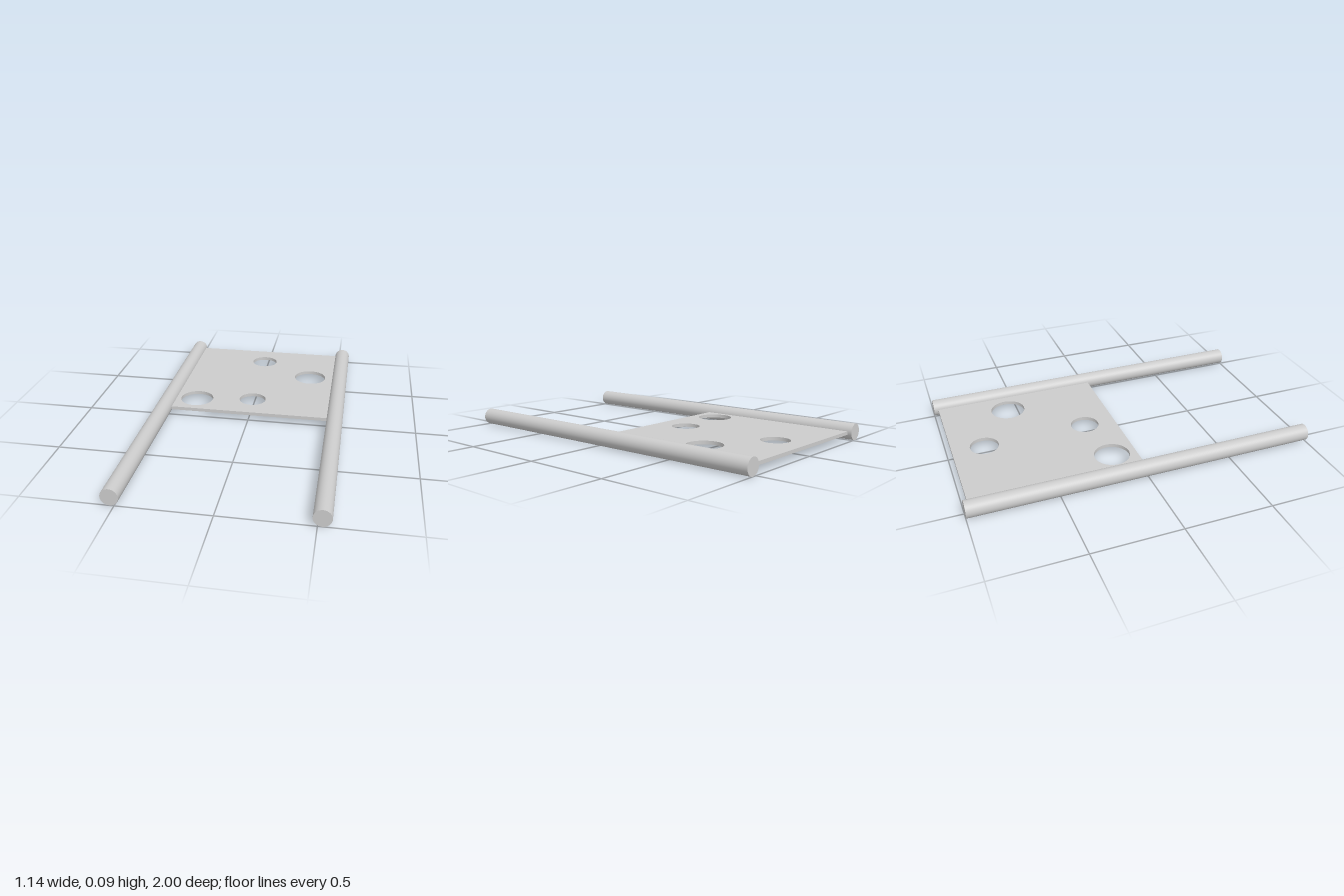
import * as THREE from 'three';

const ROD_RADIUS = 0.0475, ROD_X = 0.523, ROD_LENGTH = 2;
const PLATE_DEPTH = 0.975, PLATE_THICKNESS = 0.02, PLATE_Y = 0.034;

// Hole centres and radii as [x, z, radius]
const HOLES = [
  [-0.01, -0.79, 0.082],
  [0.328, -0.573, 0.101],
  [0, -0.183, 0.082],
  [-0.347, -0.14, 0.101],
];

export function createModel() {
  const model = new THREE.Group();
  model.name = 'perforatedPlateOnRods';
  const material = new THREE.MeshStandardMaterial({ color: 0xcccccc });

  // Long round rods on both sides
  const rodGeometry = new THREE.CylinderGeometry(ROD_RADIUS, ROD_RADIUS, ROD_LENGTH, 64);
  rodGeometry.rotateX(Math.PI / 2);
  for (const [name, side] of [['leftRod', 1], ['rightRod', -1]]) {
    const rod = new THREE.Mesh(rodGeometry, material);
    rod.name = name;
    rod.position.set(side * ROD_X, ROD_RADIUS, 0);
    model.add(rod);
  }

  // Thin plate with round holes, its edges sunk into the rods
  const outline = new THREE.Shape();
  outline.moveTo(-ROD_X, 0);
  outline.lineTo(ROD_X, 0);
  outline.lineTo(ROD_X, PLATE_DEPTH);
  outline.lineTo(-ROD_X, PLATE_DEPTH);
  outline.closePath();
  for (const [x, z, radius] of HOLES) {
    outline.holes.push(new THREE.Path().absarc(x, -z, radius, 0, Math.PI * 2, true));
  }
  const plateGeometry = new THREE.ExtrudeGeometry(outline, {
    depth: PLATE_THICKNESS, bevelEnabled: false, curveSegments: 48,
  });
  plateGeometry.rotateX(-Math.PI / 2);
  const plate = new THREE.Mesh(plateGeometry, material);
  plate.name = 'perforatedPlate';
  plate.position.y = PLATE_Y;
  model.add(plate);

  return model;
}
